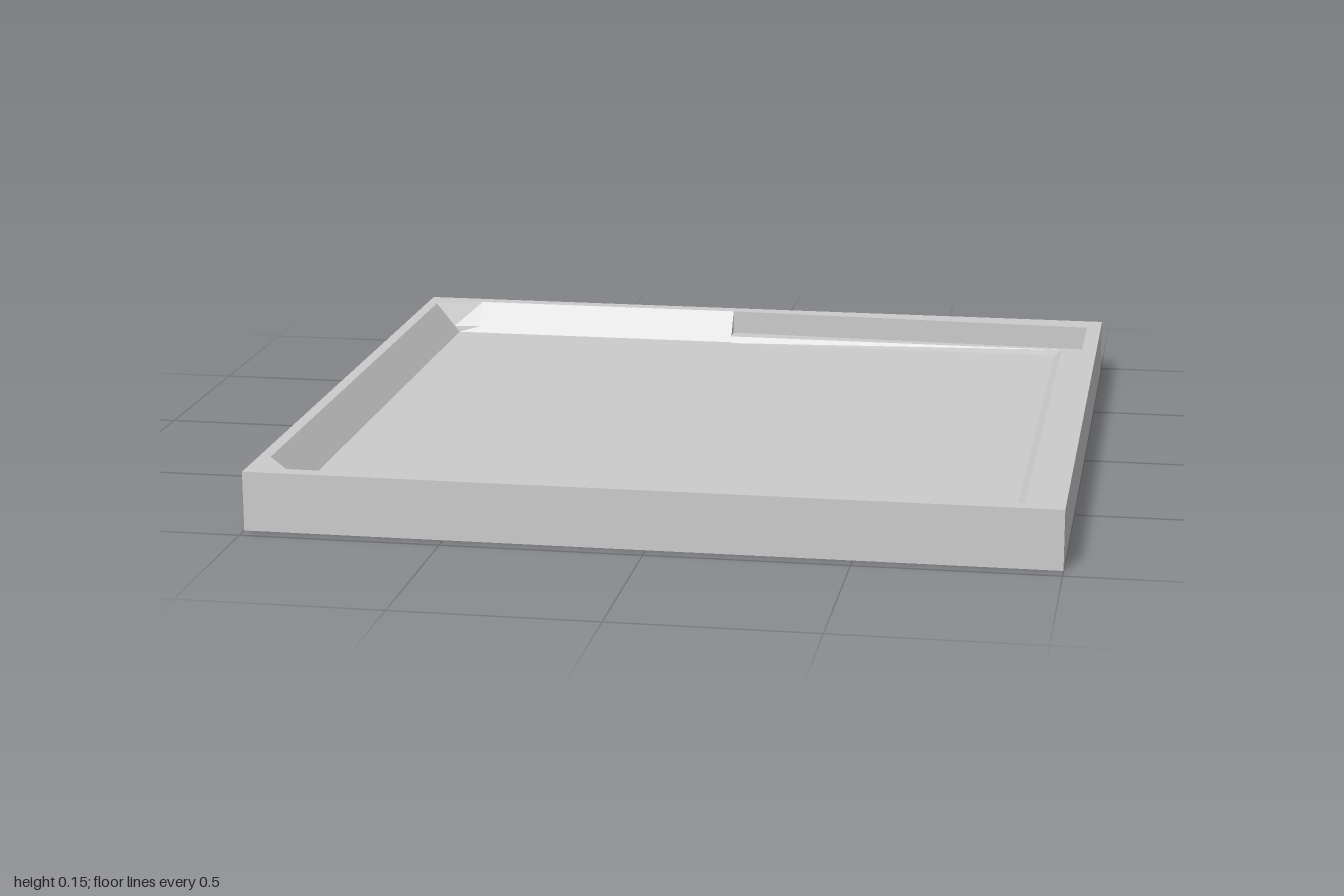
import * as THREE from 'three';

const TOP = 0.15, LEDGE = 0.085, FLOOR = 0.068, UNDER = 0.055;

const material = new THREE.MeshStandardMaterial({
  color: 0xcccccc, flatShading: true, side: THREE.DoubleSide,
});

// Skin between successive closed rings of [x, y, z] points
function loft(rings) {
  const pos = [];
  for (let r = 0; r < rings.length - 1; r++) {
    const a = rings[r], b = rings[r + 1], n = a.length;
    for (let i = 0; i < n; i++) {
      const j = (i + 1) % n;
      pos.push(...a[i], ...a[j], ...b[j], ...a[i], ...b[j], ...b[i]);
    }
  }
  const g = new THREE.BufferGeometry();
  g.setAttribute('position', new THREE.Float32BufferAttribute(pos, 3));
  g.computeVertexNormals();
  return g;
}

// Flat horizontal sheet from an [x, z] outline, facing up or down
function sheet(outline, y, up, hole) {
  const s = up ? -1 : 1;
  const points = (list) => list.map(([x, z]) => new THREE.Vector2(x, s * z));
  const shape = new THREE.Shape(points(outline));
  if (hole) shape.holes.push(new THREE.Path(points(hole)));
  return new THREE.ShapeGeometry(shape).rotateX(s * Math.PI / 2).translate(0, y, 0);
}

const rect = (x0, x1, z0, z1) => [[x0, z0], [x0, z1], [x1, z1], [x1, z0]];
const raise = (outline, y) => outline.map(([x, z]) => [x, y, z]);

export function createModel() {
  const group = new THREE.Group();
  const add = (name, geometry) => {
    const mesh = new THREE.Mesh(geometry, material);
    mesh.name = name;
    group.add(mesh);
  };

  // Inner wall stations: opening x, z, floor x, z, and whether the wall drops to a ledge
  const stations = [
    [-0.97, -0.88, -0.9, -0.87, false],
    [-0.97, 0.82, -0.9, 0.82, false],
    [-0.9, 0.92, -0.9, 0.88, false],
    [0.92, 0.92, 0.82, 0.88, false],
    [0.96, 0.86, 0.87, 0.82, false],
    [0.96, 0.82, 0.87, 0.82, true],
    [0.96, -0.88, 0.87, -0.86, true],
    [-0.08, -0.92, -0.08, -0.86, true],
    [-0.08, -0.92, -0.08, -0.87, false],
    [-0.84, -0.92, -0.84, -0.87, false],
  ];
  const opening = stations.map(([x, z]) => [x, z]);
  const floorEdge = stations.map(([, , x, z]) => [x, z]);
  const t = (TOP - LEDGE) / (TOP - FLOOR);
  const middle = stations.map(([x, z, fx, fz, ledge]) => (ledge
    ? [x, z]
    : [x + (fx - x) * t, z + (fz - z) * t]));
  // Ledges stay level, then step down to the floor
  const lip = stations.map(([x, z, fx, fz, ledge]) => (ledge
    ? [fx + (x - fx) * 0.22, fz + (z - fz) * 0.22]
    : [x + (fx - x) * t, z + (fz - z) * t]));

  const outer = rect(-1, 1, -0.96, 0.96);
  const underOpening = rect(-0.95, 0.93, -0.89, 0.89);
  const underEdge = rect(-0.9, 0.91, -0.87, 0.86);

  // Frame
  add('frameOuterWalls', loft([raise(outer, 0), raise(outer, TOP)]));
  add('frameTopRim', sheet(outer, TOP, true, opening));
  add('frameBottomRim', sheet(outer, 0, false, underOpening));
  add('innerWallsAndLedges', loft([
    raise(opening, TOP), raise(middle, LEDGE), raise(lip, LEDGE), raise(floorEdge, FLOOR),
  ]));
  add('undersideRecessWalls', loft([raise(underEdge, UNDER), raise(underOpening, 0)]));

  // Tray floor, seen from above and below
  add('trayFloor', sheet(floorEdge, FLOOR, true));
  add('trayUnderside', sheet(underEdge, UNDER, false));

  return group;
}
